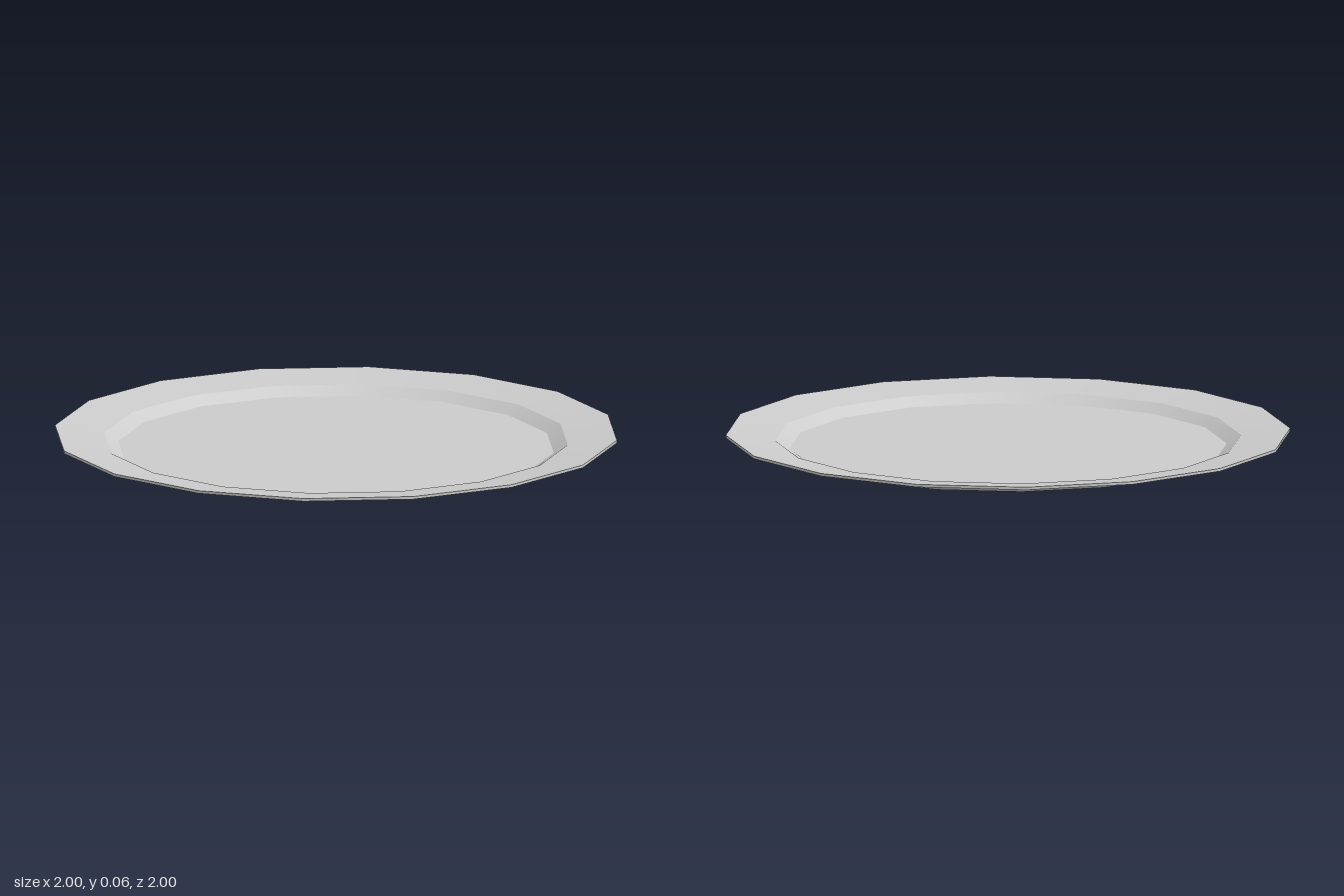
import * as THREE from 'three';
import { mergeGeometries } from 'three/addons/utils/BufferGeometryUtils.js';

const SIDES = 16;

// Turns each profile segment separately so the edges between bands stay sharp
function turnedBands(profile) {
  const bands = [];
  for (let i = 0; i < profile.length - 1; i++) {
    const points = [profile[i], profile[i + 1]].map(([r, y]) => new THREE.Vector2(r, y));
    bands.push(new THREE.LatheGeometry(points, SIDES));
  }
  return mergeGeometries(bands);
}

export function createModel() {
  const group = new THREE.Group();
  group.name = 'plate';

  const ceramic = new THREE.MeshStandardMaterial({ color: 0xcccccc });
  ceramic.name = 'pale grey';

  const addPart = (name, profile) => {
    const mesh = new THREE.Mesh(turnedBands(profile), ceramic);
    mesh.name = name;
    group.add(mesh);
  };

  // Base, foot slope and underside of the rim, from the centre outwards
  addPart('underside', [[0, 0], [0.775, 0], [0.825, 0.03], [1, 0.052]]);

  // Thin outer lip
  addPart('lip', [[1, 0.052], [1, 0.062]]);

  // Rim, inner slope and floor, from the lip inwards
  addPart('eatingSurface', [[1, 0.062], [0.825, 0.04], [0.775, 0.01], [0, 0.01]]);

  return group;
}
